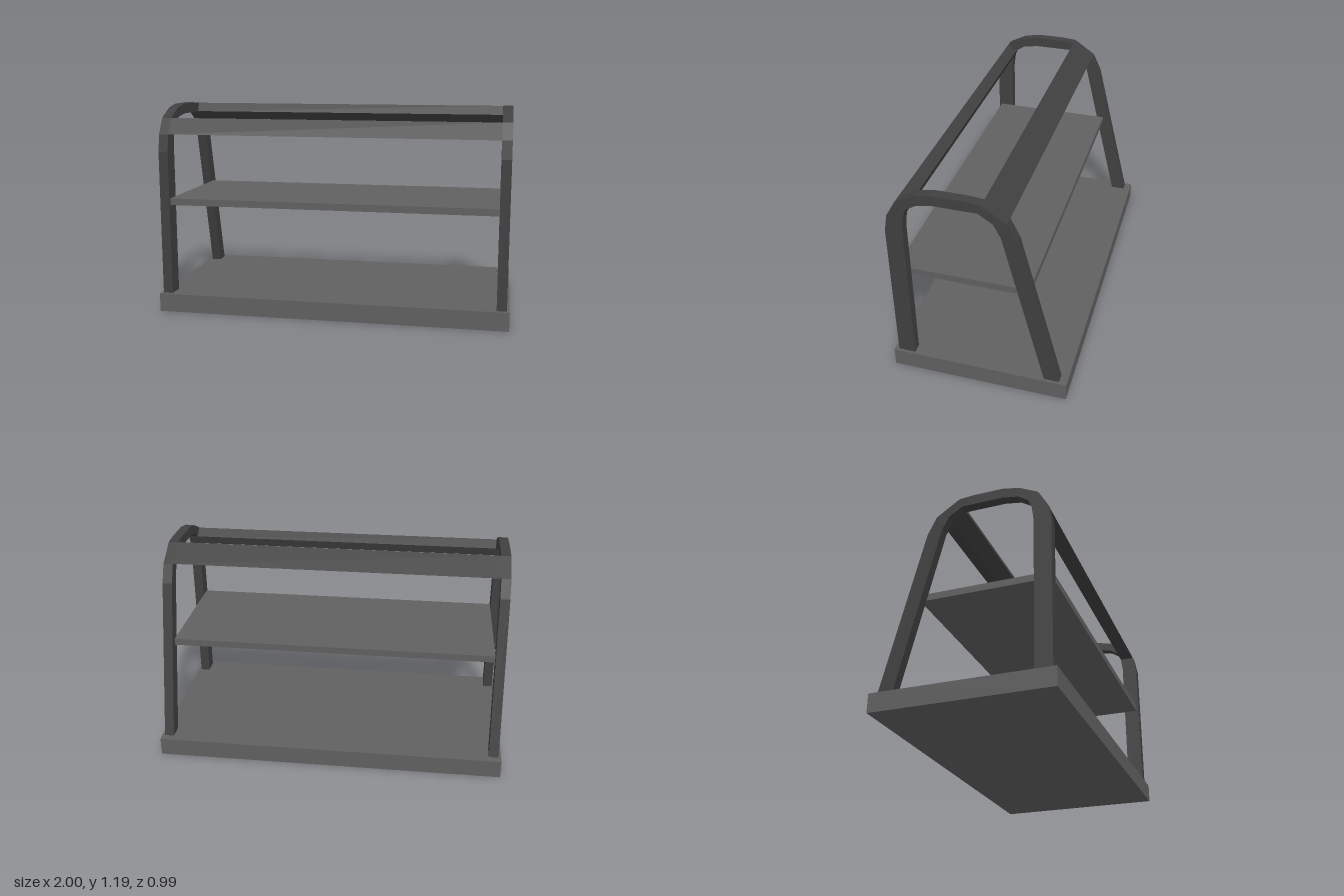
import * as THREE from 'three';

const frameGrey = new THREE.MeshStandardMaterial({ name: 'dark grey frame', color: 0x404040 });
const boardGrey = new THREE.MeshStandardMaterial({ name: 'mid grey board', color: 0x606060 });

// Extrudes a [z, y] side profile along x, from x0 to x1
function prism(name, profile, x0, x1, material) {
  const shape = new THREE.Shape(profile.map(([z, y]) => new THREE.Vector2(-z, y)));
  const geometry = new THREE.ExtrudeGeometry(shape, { depth: x1 - x0, bevelEnabled: false });
  geometry.rotateY(Math.PI / 2).translate(x0, 0, 0);
  const mesh = new THREE.Mesh(geometry, material);
  mesh.name = name;
  return mesh;
}

export function createModel() {
  const group = new THREE.Group();
  group.name = 'shelfRack';

  // Arched end frame: outer and inner edges from front foot to back foot
  const outer = [[0.47, 0.1], [0.47, 0.93], [0.452, 1.03], [0.4, 1.12], [0.295, 1.172],
    [0.2, 1.19], [0.04, 1.19], [-0.047, 1.183], [-0.175, 1.097], [-0.225, 0.995], [-0.451, 0.1]];
  const inner = [[0.375, 0.1], [0.375, 0.95], [0.365, 1.03], [0.347, 1.08], [0.29, 1.117],
    [0.2, 1.132], [0.04, 1.132], [-0.028, 1.132], [-0.104, 1.082], [-0.142, 1.008], [-0.367, 0.1]];
  const arch = [...outer, ...inner.slice().reverse()];
  group.add(prism('leftFrame', arch, 0.93, 0.985, frameGrey));
  group.add(prism('rightFrame', arch, -0.985, -0.93, frameGrey));

  // Long rails fill one segment of the arch between the frames
  const segment = (i) => [outer[i], outer[i + 1], inner[i + 1], inner[i]];
  group.add(prism('frontRail', segment(2), -0.93, 0.93, frameGrey));
  group.add(prism('topRail', segment(7), -0.93, 0.93, frameGrey));

  // Base slab and middle shelf
  const board = (name, z0, z1, y0, y1, x) =>
    prism(name, [[z0, y0], [z1, y0], [z1, y1], [z0, y1]], -x, x, boardGrey);
  group.add(board('base', 0.493, -0.493, 0, 0.105, 1));
  group.add(board('shelf', 0.455, -0.27, 0.624, 0.663, 0.93));

  return group;
}
